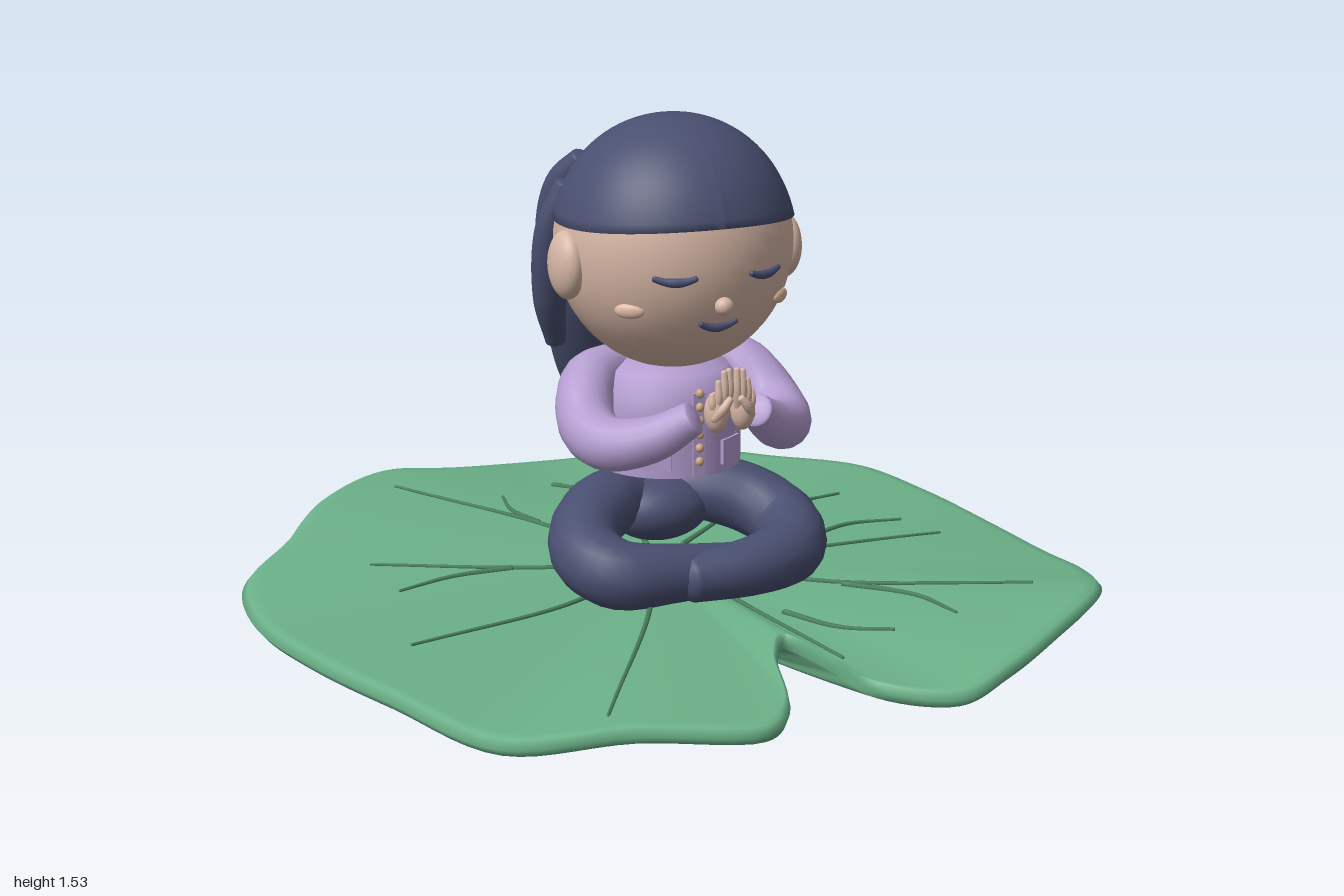
import * as THREE from 'three';

const mat = (name, color, side = THREE.FrontSide) => {
  const m = new THREE.MeshStandardMaterial({ color, side });
  m.name = name;
  return m;
};

// Skin closed rings of points into one smooth surface
function skinRings(rings) {
  const n = rings[0].length, pos = [], idx = [];
  rings.forEach(ring => ring.forEach(p => pos.push(p.x, p.y, p.z)));
  for (let i = 0; i < rings.length - 1; i++) {
    for (let j = 0; j < n; j++) {
      const k = (j + 1) % n, a = i * n + j, b = i * n + k, c = b + n, d = a + n;
      idx.push(a, b, c, a, c, d);
    }
  }
  const g = new THREE.BufferGeometry();
  g.setAttribute('position', new THREE.Float32BufferAttribute(pos, 3));
  g.setIndex(idx);
  g.computeVertexNormals();
  return g;
}

// Sweep an oval of changing size along points [x, y, z, radius]; cap rounds the ends
function loft(pts, { ref = [0, 1, 0], flat = 1, seg = 28, sides = 16, cap = 0.7 } = {}) {
  const path = new THREE.CatmullRomCurve3(pts.map(p => new THREE.Vector3(p[0], p[1], p[2])));
  const size = new THREE.CatmullRomCurve3(pts.map(p => new THREE.Vector3(p[3], 0, 0)), false, 'catmullrom');
  const up = new THREE.Vector3(...ref), rings = [];
  const ring = (t, shift, k) => {
    const dir = path.getTangent(t), r = size.getPoint(t).x;
    const c = path.getPoint(t).addScaledVector(dir, shift * r * cap);
    const u = up.clone().cross(dir).normalize(), v = dir.clone().cross(u);
    rings.push(Array.from({ length: sides }, (_, j) => {
      const a = j / sides * Math.PI * 2;
      return c.clone().addScaledVector(u, Math.cos(a) * r * k).addScaledVector(v, Math.sin(a) * r * k * flat);
    }));
  };
  const q = [0, 0.3, 0.6, 0.85].map(f => f * Math.PI / 2);
  q.forEach(a => ring(0, -Math.cos(a), Math.sin(a)));
  for (let i = 0; i <= seg; i++) ring(i / seg, 0, 1);
  q.reverse().forEach(a => ring(1, Math.cos(a), Math.sin(a)));
  return skinRings(rings);
}

// Leaf outline [x, z, rim height], starting at the notch
const OUTLINE = [
  [.04, .59, .43], [.09, .72, .42], [.13, .86, .40], [.28, .965, .395], [.43, .925, .42], [.62, .82, .44],
  [.83, .67, .45], [.94, .465, .41], [.96, .27, .39], [.995, -.05, .365], [.957, -.32, .38], [.86, -.51, .41],
  [.66, -.67, .42], [.57, -.8, .41], [.41, -.91, .40], [.1, -.98, .39], [-.21, -.91, .43], [-.42, -.89, .455],
  [-.66, -.7, .455], [-.8, -.51, .43], [-.955, -.32, .41], [-.995, -.08, .40], [-.955, .24, .415], [-.86, .5, .41],
  [-.71, .76, .38], [-.45, .86, .40], [-.19, .957, .395], [-.10, .88, .40], [-.02, .67, .42],
];
const HUB = 0.42;
const rim = new THREE.CatmullRomCurve3(OUTLINE.map(([x, z, y]) => new THREE.Vector3(x, y, z)), true)
  .getPoints(203).slice(0, -1);

// Height of the leaf's upper side
function leafTop(x, z) {
  let best = rim[0], score = -2;
  for (const p of rim) {
    const s = (p.x * x + p.z * z) / (Math.hypot(p.x, p.z) * (Math.hypot(x, z) || 1));
    if (s > score) { score = s; best = p; }
  }
  const t = Math.hypot(x, z) / Math.hypot(best.x, best.z);
  return HUB + (best.y - HUB) * t * t;
}

function leafGeometry() {
  const steps = [0, .1, .2, .3, .4, .5, .6, .7, .8, .9, .96, .985];
  const under = steps.map(t => rim.map(p => new THREE.Vector3(p.x * t, .3 + (p.y - .335) * t * t, p.z * t)));
  const edge = rim.map(p => new THREE.Vector3(p.x, p.y - .018, p.z));
  const over = steps.map(t => rim.map(p => new THREE.Vector3(p.x * t, HUB + (p.y - HUB) * t * t, p.z * t)));
  return skinRings([...under, edge, ...over.reverse()]);
}

// Vein paths on the leaf, as x, z pairs
const VEINS = [
  [.02, -.12, .07, -.31, .14, -.56, .2, -.84], [-.06, -.11, -.19, -.4, -.43, -.74], [-.17, -.37, -.2, -.48, -.18, -.6],
  [0, -.69, .05, -.64, .07, -.58], [.1, -.08, .26, -.21, .55, -.49], [.41, -.17, .53, -.27, .67, -.31],
  [.12, .03, .33, .06, .78, .03], [.41, -.01, .57, -.09, .74, -.1], [.1, .1, .3, .32, .71, .56],
  [.32, .35, .43, .49, .46, .63], [.12, .43, .19, .56, .29, .64], [.03, .12, .06, .37, .12, .71],
  [-.07, .11, -.18, .33, -.47, .77], [-.11, .07, -.33, .19, -.73, .27], [-.1, -.02, -.28, -.07, -.65, -.27],
  [-.35, -.1, -.5, -.11, -.64, -.08],
];

export function createModel() {
  const root = new THREE.Group();
  const leafGreen = mat('leaf green', 0x6bb188), veinGreen = mat('vein green', 0x4a7f5f);
  const skin = mat('skin', 0xd6b6a5), cheek = mat('cheek', 0xdfb9a3);
  const navy = mat('navy', 0x494f70), lilac = mat('lilac', 0xb49dd0, THREE.DoubleSide);
  const beadTan = mat('bead tan', 0xcaa57e);

  const add = (parent, name, geo, material, pos = [0, 0, 0], scale = [1, 1, 1]) => {
    const m = new THREE.Mesh(geo, material);
    m.name = name;
    m.position.set(...pos);
    m.scale.set(...scale);
    parent.add(m);
    return m;
  };
  const ball = new THREE.SphereGeometry(1, 40, 28);
  const group = (name, x = 0) => {
    const g = new THREE.Group();
    g.name = name;
    g.position.x = x;
    root.add(g);
    return g;
  };
  const flip = (pts, s) => pts.map(([x, ...rest]) => [x * s, ...rest]);

  // Lily pad with veins and stem
  const pad = group('lilyPad');
  add(pad, 'leaf', leafGeometry(), leafGreen);
  VEINS.forEach(v => {
    const curve = new THREE.CatmullRomCurve3(
      Array.from({ length: v.length / 2 }, (_, i) => new THREE.Vector3(v[2 * i], 0, v[2 * i + 1])));
    const pts = curve.getPoints(8).map((p, i) => [p.x, leafTop(p.x, p.z) + .002, p.z, .008 - i * .0005]);
    add(pad, 'vein', loft(pts, { sides: 6, seg: 16 }), veinGreen);
  });
  add(pad, 'hub', ball, veinGreen, [0, HUB, 0], [.03, .008, .03]);
  add(pad, 'stem', loft([[.0, .31, .02, .06], [.005, .275, .02, .035], [.0, .25, .017, .022], [-.015, .22, .01, .037],
    [-.045, .12, -.01, .033], [-.082, .008, -.03, .023]], { ref: [0, 0, 1], cap: .05 }), leafGreen);

  const figure = group('meditatingFigure', .012);

  // Crossed legs
  add(figure, 'pelvis', ball, navy, [0, .55, -.03], [.13, .08, .1]);
  for (const s of [1, -1]) {
    const d = s > 0 ? .015 : -.015;
    add(figure, 'leg', loft(flip([[.07, .57, -.05, .07], [.14, .58, -.02, .083], [.225, .555, .05, .085],
      [.262, .52, .14, .085], [.225, .495, .235, .082], [.1, .487, .275 + d, .07], [-.06, .48, .275 + d, .058]], s)), navy);
  }

  // Jacket: closed upper part, lower part slit at both sides
  const prof = a => a.map(([r, y]) => new THREE.Vector2(r, y));
  add(figure, 'jacketUpper', new THREE.LatheGeometry(
    prof([[.178, .775], [.179, .83], [.174, .885], [.145, .927], [.08, .953], [0, .96]]), 48), lilac, [0, 0, .015]);
  for (const turn of [0, Math.PI]) {
    add(figure, 'jacketHem', new THREE.LatheGeometry(prof([[.178, .69], [.178, .73], [.178, .775]]), 28,
      turn - Math.PI / 2 + .11, Math.PI - .22), lilac, [0, 0, .015]);
  }
  add(figure, 'placket', new THREE.BoxGeometry(.03, .2, .009), lilac, [0, .795, .193]);
  for (let i = 0; i < 6; i++) add(figure, 'bead', ball, beadTan, [0, .73 + i * .033, .2], [.01, .011, .01]);

  for (const s of [1, -1]) {
    const pocket = add(figure, 'pocket', new THREE.BoxGeometry(.07, .06, .009), lilac, [s * .095, .74, .166]);
    pocket.rotation.y = s * .56;

    // Sleeve, palm and raised fingers
    add(figure, 'sleeve', loft(flip([[.12, .925, -.035, .05], [.2, .9, .01, .066], [.243, .825, .1, .068],
      [.228, .8, .19, .064], [.155, .825, .275, .054], [.08, .88, .33, .04]], s), { cap: .25 }), lilac);
    add(figure, 'palm', ball, skin, [s * .033, .895, .355], [.028, .048, .03]);
    [[.01, 1.0, .37], [.023, .997, .372], [.036, .975, .37], [.049, .945, .365]].forEach(([x, y, z]) =>
      add(figure, 'finger', loft([[s * (.015 + x * .5), .89, .36, .011], [s * x, (y + .89) / 2, z + .004, .01],
        [s * x, y - .006, z, .0075]], { ref: [0, 0, 1], sides: 10, seg: 8 }), skin));
    add(figure, 'thumb', loft([[s * .045, .885, .37, .012], [s * .03, .91, .386, .011], [s * .014, .93, .385, .009]],
      { ref: [0, 0, 1], sides: 10, seg: 8 }), skin);
  }

  // Head and face
  const faceZ = (x, y) => .05 + .278 * Math.sqrt(1 - (x / .282) ** 2 - ((y - 1.23) / .298) ** 2);
  const stroke = (name, cx, cy, half, dip) => {
    const pts = [-1, -.5, 0, .5, 1].map(k => {
      const x = cx + k * half, y = cy - dip * (1 - k * k);
      return [x, y, faceZ(x, y) + .003, .011 - .004 * Math.abs(k)];
    });
    add(figure, name, loft(pts, { sides: 8, seg: 16 }), navy);
  };
  add(figure, 'head', ball, skin, [0, 1.23, .05], [.282, .298, .278]);
  add(figure, 'nose', ball, skin, [0, 1.13, faceZ(0, 1.13) + .012], [.022, .021, .02]);
  stroke('mouth', 0, 1.086, .044, .012);
  for (const s of [1, -1]) {
    stroke('closedEye', s * .112, 1.199, .043, .009);
    const c = add(figure, 'cheek', ball, cheek, [s * .19, 1.117, faceZ(.19, 1.117)], [.035, .018, .012]);
    c.rotation.y = s * .7;
    add(figure, 'ear', ball, skin, [s * .277, 1.2, .07], [.04, .08, .066]);
  }

  // Hair cap with a hairline that sinks a little towards the ears, tucked against the head
  const cap = Array.from({ length: 21 }, (_, i) => {
    const a = 1.335 * (1 - i / 20);
    return new THREE.Vector2(Math.sin(a), Math.cos(a));
  });
  cap.unshift(new THREE.Vector2(.93, cap[0].y));
  const capGeo = new THREE.LatheGeometry(cap, 56), cp = capGeo.attributes.position;
  for (let i = 0; i < cp.count; i++) {
    const x = cp.getX(i), y = cp.getY(i);
    cp.setY(i, y + (1 - y) * (.035 - .09 * x * x));
  }
  capGeo.computeVertexNormals();
  add(figure, 'hairCap', capGeo, navy, [0, 1.23, .05], [.291, .298, .287]);
  add(figure, 'backHair', ball, navy, [0, 1.24, -.03], [.25, .24, .19]);

  // Broad locks down the back, with narrow ribbons at the sides
  const strand = (pts, flat) => add(figure, 'hairStrand', loft(pts, { ref: [0, 0, 1], flat, cap: .35, sides: 20 }), navy);
  strand([[0, 1.36, -.1, .05], [0, 1.25, -.165, .09], [0, 1.05, -.2, .105], [0, .88, -.225, .085], [0, .745, -.24, .035]], .5);
  for (const s of [1, -1]) {
    strand(flip([[.1, 1.37, -.08, .05], [.125, 1.26, -.15, .09], [.13, 1.06, -.185, .1], [.115, .9, -.212, .08],
      [.1, .77, -.23, .035]], s), .58);
    strand(flip([[.225, 1.36, -.055, .028], [.255, 1.25, -.085, .036], [.24, 1.08, -.13, .04], [.21, .96, -.17, .025]], s), 1);
    strand(flip([[.165, 1.41, -.095, .032], [.195, 1.34, -.15, .045], [.2, 1.2, -.19, .048], [.18, 1.02, -.215, .025]], s), .9);
  }
  return root;
}
